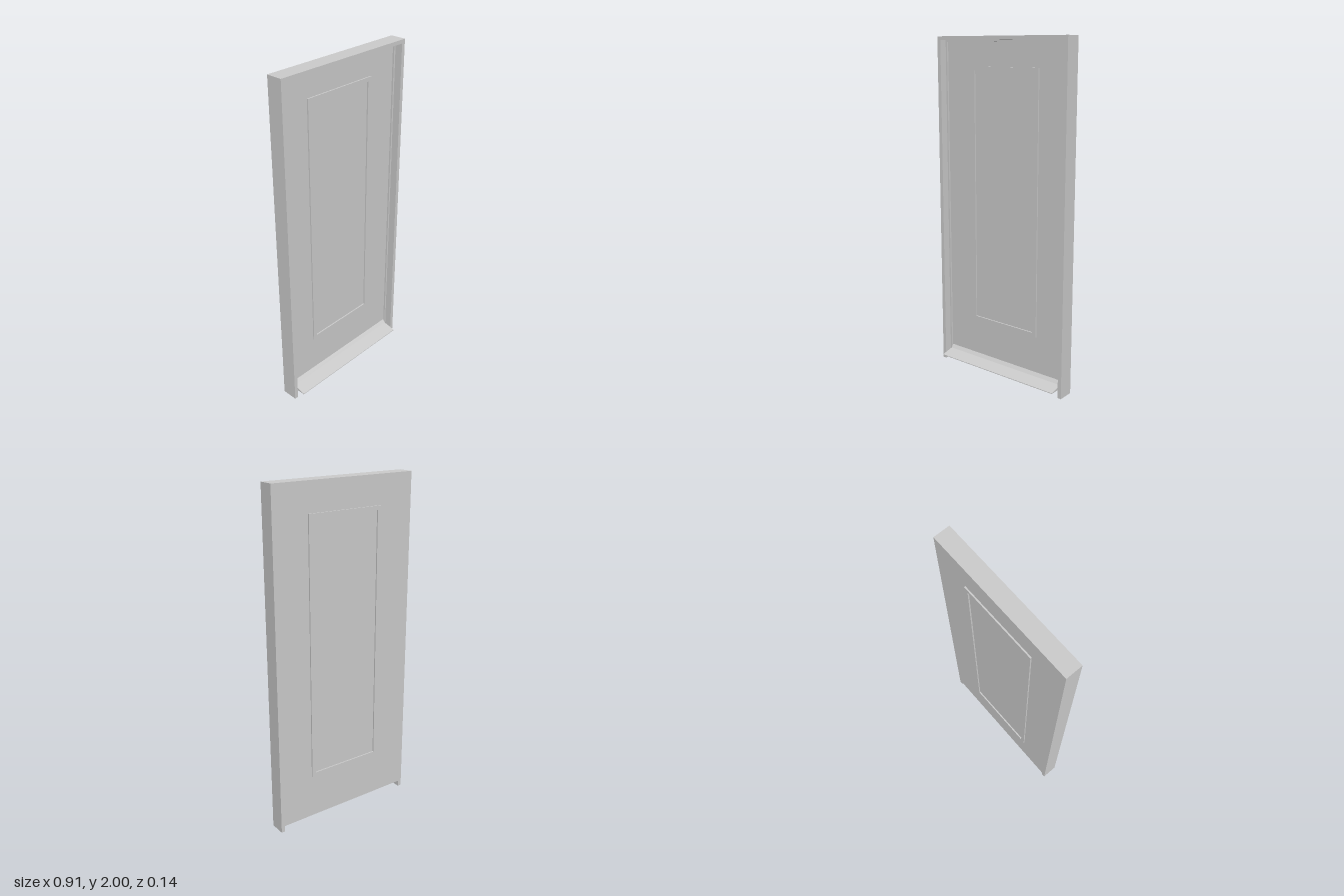
import * as THREE from 'three';

const material = new THREE.MeshStandardMaterial({ color: 0xcccccc, flatShading: true });

function add(group, name, geometry, x = 0, y = 0, z = 0) {
  const mesh = new THREE.Mesh(geometry, material);
  mesh.name = name;
  mesh.position.set(x, y, z);
  group.add(mesh);
  return mesh;
}

function extrude(points, depth, hole) {
  const toVectors = (list) => list.map(([x, y]) => new THREE.Vector2(x, y));
  const shape = new THREE.Shape(toVectors(points));
  if (hole) shape.holes.push(new THREE.Path(toVectors(hole)));
  return new THREE.ExtrudeGeometry(shape, { depth, bevelEnabled: false });
}

const rect = (w, y0, y1) => [[-w, y0], [w, y0], [w, y1], [-w, y1]];

// Three-sided surround, open at the bottom
const arch = (outer, inner, bottom, outerTop, innerTop) => [
  [-outer, bottom], [-inner, bottom], [-inner, innerTop], [inner, innerTop],
  [inner, bottom], [outer, bottom], [outer, outerTop], [-outer, outerTop],
];

export function createModel() {
  const door = new THREE.Group();
  door.name = 'door';
  const back = -0.065, leafFront = -0.025, trim = 0.008;

  // Jambs and head, with a small stop in front of the leaf
  add(door, 'frame', extrude(arch(0.455, 0.432, 0, 2, 1.978), 0.095), 0, 0, back);
  add(door, 'stop', extrude(arch(0.432, 0.422, 0.037, 1.978, 1.968), 0.01), 0, 0, leafFront);

  // Leaf, flush with the back of the frame
  add(door, 'leaf', extrude(rect(0.432, 0.037, 1.978), leafFront - back), 0, 0, back);

  // Raised rectangular moulding on each face of the leaf
  const moulding = extrude(rect(0.239, 0.3, 1.832), trim, rect(0.214, 0.324, 1.808));
  add(door, 'frontMoulding', moulding, 0, 0, leafFront);
  add(door, 'backMoulding', moulding, 0, 0, back - trim);

  // Sloping weather bar; its profile is drawn in (-z, y) and swept along x
  const profile = [[-0.07, 0.037], [0.025, 0.037], [0.025, 0.08], [0.01, 0.06], [-0.07, 0.041]];
  add(door, 'weatherBar', extrude(profile, 0.84), -0.42).rotation.y = Math.PI / 2;

  return door;
}
